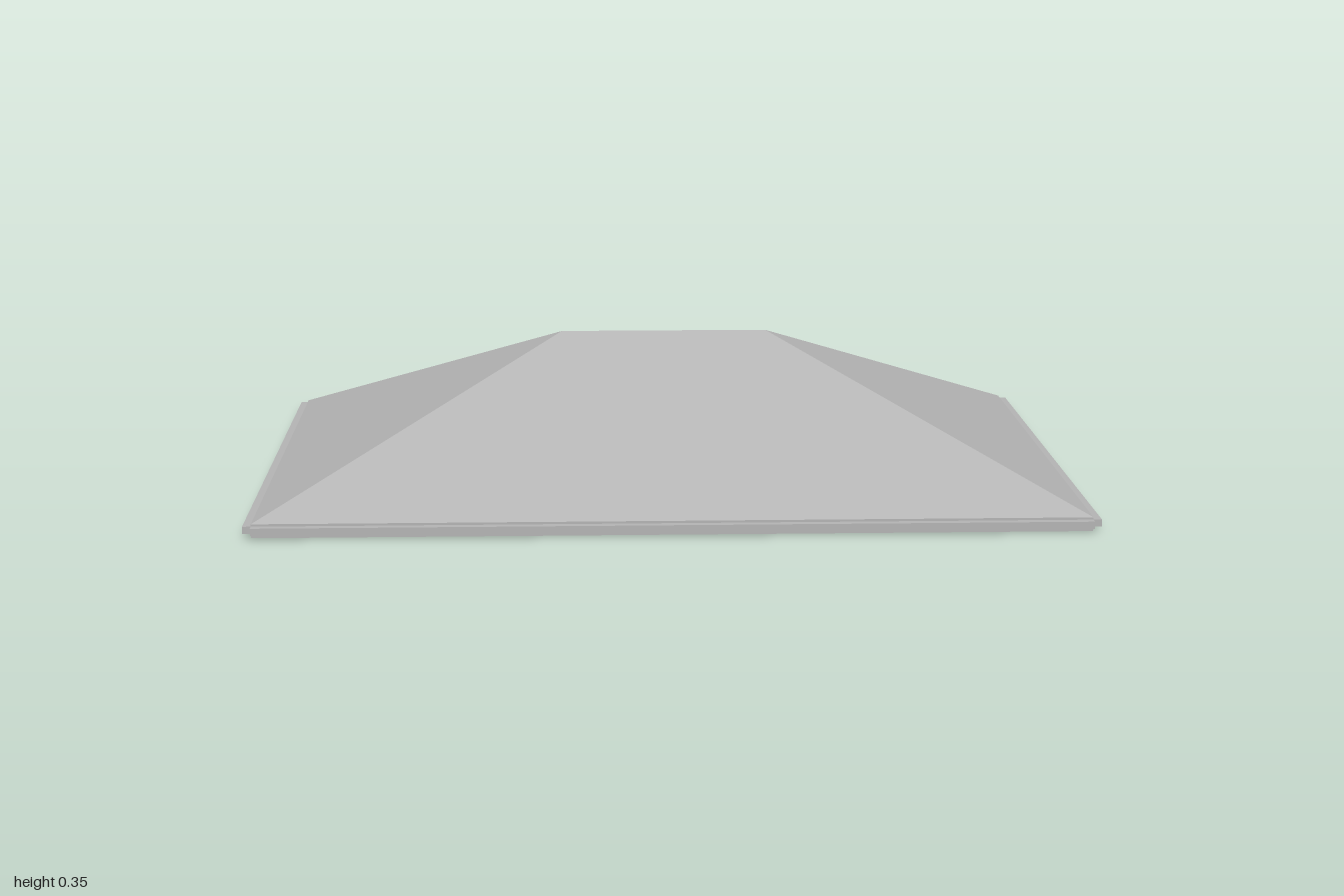
import * as THREE from 'three';

const W = 0.98, D = 0.72, EAVE = 0.033, RIDGE = 0.355, RIDGE_X = 0.26;

// Flat-shaded surface from convex polygons, corners counter-clockwise from outside
function faces(polygons) {
  const pos = [];
  for (const p of polygons) {
    for (let i = 1; i < p.length - 1; i++) pos.push(...p[0], ...p[i], ...p[i + 1]);
  }
  const g = new THREE.BufferGeometry();
  g.setAttribute('position', new THREE.Float32BufferAttribute(pos, 3));
  g.computeVertexNormals();
  return g;
}

export function createModel() {
  const group = new THREE.Group();
  const grey = new THREE.MeshStandardMaterial({ color: 0xb4b4b4, side: THREE.DoubleSide });
  grey.name = 'roof grey';

  const add = (name, geometry, x = 0, y = 0, z = 0) => {
    const mesh = new THREE.Mesh(geometry, grey);
    mesh.name = name;
    mesh.position.set(x, y, z);
    group.add(mesh);
  };

  // Hipped roof shell, open below
  const corners = [[-W, D], [W, D], [W, -D], [-W, -D]];
  const [fl, fr, br, bl] = corners.map(([x, z]) => [x, EAVE, z]);
  const rl = [-RIDGE_X, RIDGE, 0], rr = [RIDGE_X, RIDGE, 0];
  add('hippedRoof', faces([[fl, fr, rr, rl], [br, bl, rl, rr], [fr, br, rr], [bl, fl, rl]]));

  // Thin vertical fascia under the eaves
  add('fascia', faces(corners.map(([x, z], i) => {
    const [nx, nz] = corners[(i + 1) % 4];
    return [[x, 0, z], [nx, 0, nz], [nx, EAVE, nz], [x, EAVE, z]];
  })));

  // Soffit strips below the long eaves, gutters on all four sides
  const soffit = 0.07, gutter = 0.02, gutterH = 0.017;
  for (const s of [1, -1]) {
    const side = s > 0 ? ['front', 'left'] : ['back', 'right'];
    const strip = new THREE.PlaneGeometry(2 * W, soffit).rotateX(Math.PI / 2);
    add(side[0] + 'Soffit', strip, 0, 0, s * (D - soffit / 2));
    add(side[0] + 'Gutter', new THREE.BoxGeometry(2 * W, gutterH, gutter), 0, 0.019, s * (D + gutter / 2));
    add(side[1] + 'Gutter', new THREE.BoxGeometry(gutter, gutterH, 2 * D), s * (W + gutter / 2), 0.019, 0);
  }
  return group;
}
